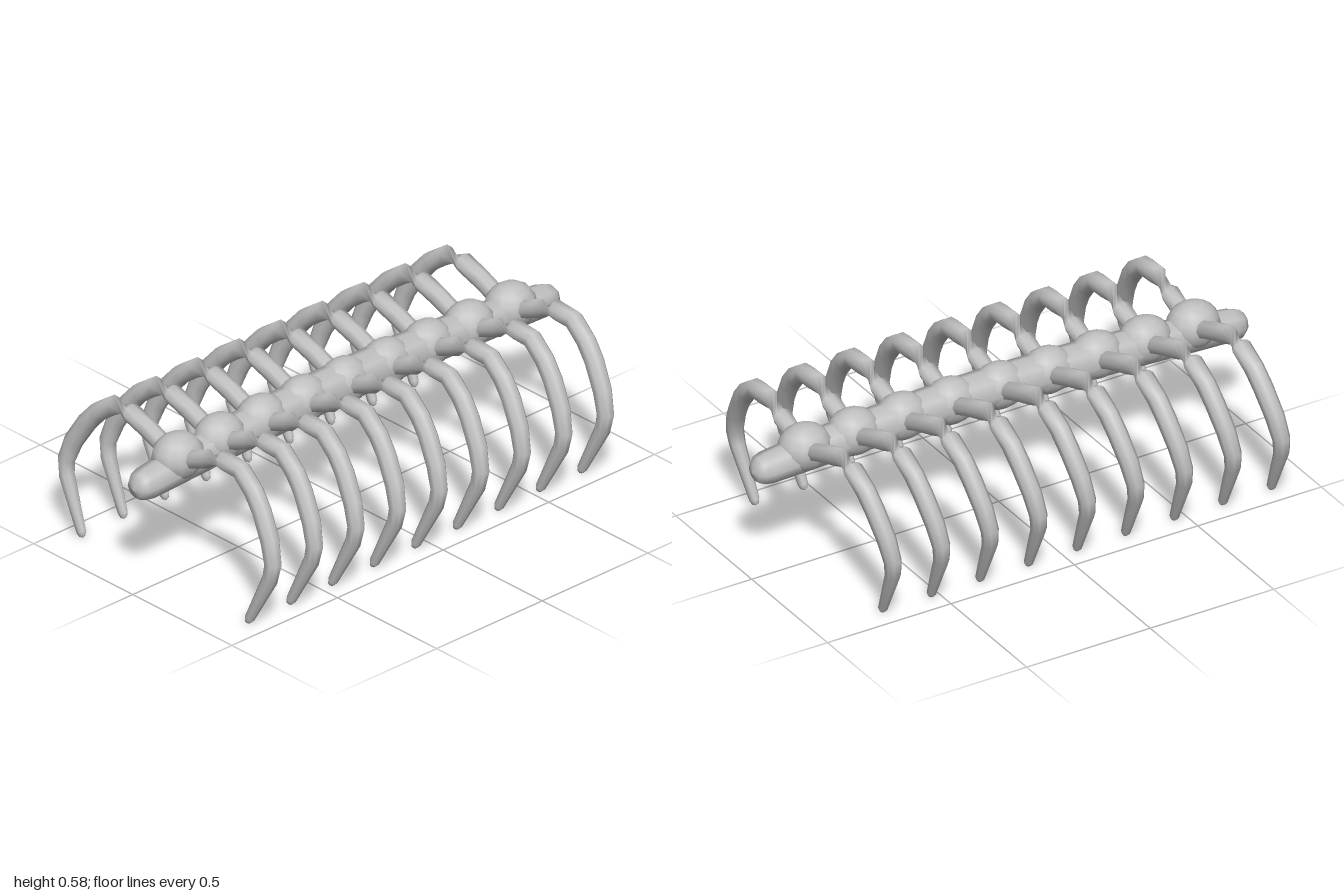
import * as THREE from 'three';

const SIDES = 8;

// Smooth tube through rings [x, y, z, radius, twist]; ref sets where each ring starts
function loft(rings, ref) {
  const pts = rings.map(r => new THREE.Vector3(r[0], r[1], r[2]));
  const pos = [], idx = [];
  rings.forEach(([, , , radius, twist = 0], i) => {
    const t = pts[Math.min(i + 1, pts.length - 1)].clone()
      .sub(pts[Math.max(i - 1, 0)]).normalize();
    const n = ref.clone().addScaledVector(t, -ref.dot(t)).normalize();
    const b = t.clone().cross(n);
    for (let j = 0; j < SIDES; j++) {
      const a = (j / SIDES) * Math.PI * 2 + twist;
      const p = pts[i].clone()
        .addScaledVector(n, radius * Math.cos(a))
        .addScaledVector(b, radius * Math.sin(a));
      pos.push(p.x, p.y, p.z);
      if (i < rings.length - 1) {
        const k = (j + 1) % SIDES, lo = i * SIDES, hi = lo + SIDES;
        idx.push(lo + j, lo + k, hi + j, lo + k, hi + k, hi + j);
      }
    }
  });
  const g = new THREE.BufferGeometry();
  g.setAttribute('position', new THREE.Float32BufferAttribute(pos, 3));
  g.setIndex(idx);
  g.computeVertexNormals();
  return g;
}

// Rib centre line: x, y, z, radius
const RIB = [
  [0.03, 0.465, 0, 0.034], [0.085, 0.49, 0, 0.034], [0.15, 0.517, 0, 0.035],
  [0.235, 0.546, 0, 0.036], [0.32, 0.541, 0, 0.036], [0.392, 0.489, 0.008, 0.036],
  [0.44, 0.433, 0.015, 0.036], [0.495, 0.342, 0.028, 0.035], [0.521, 0.262, 0.038, 0.032],
  [0.512, 0.203, 0.044, 0.029], [0.425, 0.022, 0.058, 0.018],
  [0.418, 0.008, 0.059, 0.012], [0.415, 0.003, 0.059, 0.0005],
];

// The tube wrings itself thin just before ring number twistAt
function ribGeometry(side, twistAt) {
  const rings = RIB.map(([x, y, z, r], i) =>
    [side * x, y, z, r, i >= twistAt ? THREE.MathUtils.degToRad(155) : 0]);
  return loft(rings, new THREE.Vector3(0, 0, 1));
}

// Gently arched spine with rounded ends
function spineGeometry() {
  const ends = [[1, 0.0005], [0.99, 0.036], [0.97, 0.053], [0.94, 0.06]];
  const stations = [...ends];
  for (let z = 0.8; z > -0.81; z -= 0.2) stations.push([z, 0.06 + 0.016 * (1 - z * z)]);
  ends.slice().reverse().forEach(([z, r]) => stations.push([-z, r]));
  const rings = stations.map(([z, r]) => [0, 0.42 - 0.008 * z + 0.05 * (1 - z * z), z, r]);
  return loft(rings, new THREE.Vector3(0, 1, 0));
}

export function createModel() {
  const model = new THREE.Group();
  model.name = 'ribcage';
  const bone = new THREE.MeshStandardMaterial({ color: 0xc0c0c0 });
  bone.name = 'bone grey';

  const add = (geometry, name, parent) => {
    const mesh = new THREE.Mesh(geometry, bone);
    mesh.name = name;
    parent.add(mesh);
    return mesh;
  };

  add(spineGeometry(), 'spine', model);

  const vertebraGeo = new THREE.SphereGeometry(1, 12, 8);
  const leftRib = ribGeometry(1, 3);
  const rightRib = ribGeometry(-1, 4);

  // Nine vertebrae, each carrying a pair of ribs
  for (let i = 0; i < 9; i++) {
    const z = 0.787 - i * 0.1967;
    const segment = new THREE.Group();
    segment.name = 'segment' + (i + 1);
    segment.position.z = z;
    const vertebra = add(vertebraGeo, 'vertebra', segment);
    vertebra.position.y = 0.471;
    vertebra.scale.set(0.08 + 0.012 * z * z, 0.088, 0.1);
    add(leftRib, 'leftRib', segment);
    add(rightRib, 'rightRib', segment);
    model.add(segment);
  }
  return model;
}
